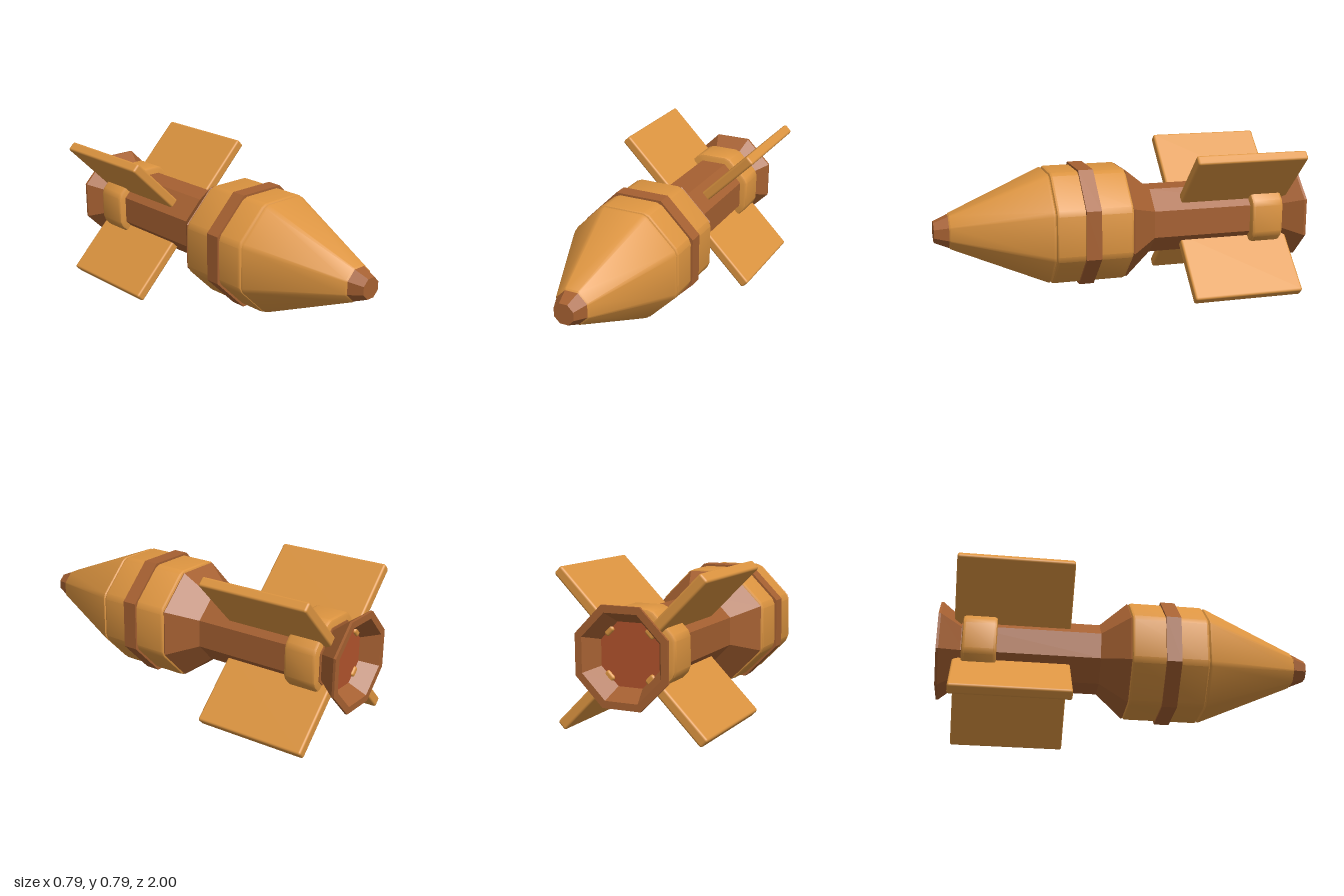
import * as THREE from 'three';
import { toCreasedNormals } from 'three/addons/utils/BufferGeometryUtils.js';
import { RoundedBoxGeometry } from 'three/addons/geometries/RoundedBoxGeometry.js';

// Eight-sided loft along z. rings: [z, apothem], outer surface running from front to back.
// bevel is the share of the apothem cut off along each side at the corners.
function octLoft(rings, bevel = 0) {
  const pos = [], index = [];
  const n = bevel ? 16 : 8;
  for (const [z, a] of rings) {
    const half = a * Math.tan(Math.PI / 8);
    for (let k = 0; k < 8; k++) {
      const t = k * Math.PI / 4, c = Math.cos(t), s = Math.sin(t);
      const ends = bevel ? [-half + a * bevel, half - a * bevel] : [half];
      for (const e of ends) pos.push(a * c - e * s, a * s + e * c, z);
    }
  }
  for (let r = 0; r < rings.length - 1; r++) {
    for (let i = 0; i < n; i++) {
      const a = r * n + i, a2 = r * n + (i + 1) % n;
      const b = a + n, b2 = a2 + n;
      if (rings[r][1] > 0) index.push(a, b, a2);
      if (rings[r + 1][1] > 0) index.push(a2, b, b2);
    }
  }
  // Drop the empty halves next to the cap centres by only keeping real triangles
  const g = new THREE.BufferGeometry();
  g.setAttribute('position', new THREE.Float32BufferAttribute(pos, 3));
  const real = [];
  const v = [0, 1, 2].map(() => new THREE.Vector3());
  for (let i = 0; i < index.length; i += 3) {
    v.forEach((p, j) => p.fromBufferAttribute(g.attributes.position, index[i + j]));
    if (new THREE.Triangle(...v).getArea() > 1e-9) real.push(index[i], index[i + 1], index[i + 2]);
  }
  g.setIndex(real);
  return toCreasedNormals(g, 0.55);
}

export function createModel() {
  const model = new THREE.Group();
  model.name = 'finnedBomb';
  const mat = (name, color) => {
    const m = new THREE.MeshStandardMaterial({ color });
    m.name = name;
    return m;
  };
  const orange = mat('orange', 0xdc9440);
  const brown = mat('brown', 0xa56031);
  const red = mat('rust red', 0xb0522c);

  const add = (name, geometry, material) => {
    const mesh = new THREE.Mesh(geometry, material);
    mesh.name = name;
    model.add(mesh);
    return mesh;
  };

  // Nose
  add('noseTip', octLoft([[1, 0], [1, 0.053], [0.925, 0.083], [0.925, 0]]), brown);
  add('noseCone', octLoft([[0.93, 0], [0.93, 0.075], [0.918, 0.09], [0.425, 0.29],
    [0.415, 0.293], [0.408, 0.285], [0.408, 0]], 0.05), orange);

  // Main body and its band
  add('body', octLoft([[0.408, 0], [0.408, 0.285], [0.403, 0.294], [0.394, 0.298], [0.014, 0.298],
    [0.005, 0.294], [0, 0.285], [0, 0]], 0.06), orange);
  add('bodyBand', octLoft([[0.257, 0], [0.257, 0.309], [0.177, 0.309], [0.177, 0]]), brown);

  // Rear taper and tail tube
  add('rearTaper', octLoft([[0, 0], [0, 0.285], [-0.006, 0.289], [-0.15, 0.174], [-0.15, 0]]), brown);
  add('tailTube', octLoft([[-0.14, 0], [-0.14, 0.174], [-0.88, 0.174], [-0.88, 0]]), brown);
  add('tailCollar', octLoft([[-0.695, 0], [-0.695, 0.198], [-0.7, 0.209], [-0.712, 0.214],
    [-0.858, 0.214], [-0.87, 0.209], [-0.875, 0.198], [-0.875, 0]], 0.08), orange);

  // Flared nozzle with a recessed disc
  add('nozzle', octLoft([[-0.865, 0.15], [-0.987, 0.24], [-1, 0.24], [-1, 0.205], [-0.905, 0.15]]), brown);
  const disc = add('nozzleDisc',
    new THREE.CircleGeometry(0.157 / Math.cos(Math.PI / 8), 8, Math.PI / 8), red);
  disc.rotation.y = Math.PI;
  disc.position.z = -0.91;

  // Four diagonal tail fins
  const inner = 0.135, outer = 0.537;
  const finGeometry = new RoundedBoxGeometry(outer - inner, 0.055, 0.612, 2, 0.012);
  finGeometry.translate((inner + outer) / 2, 0, -0.615);
  for (let i = 0; i < 4; i++) {
    add('tailFin' + (i + 1), finGeometry, orange).rotation.z = Math.PI / 4 + i * Math.PI / 2;
  }

  for (const part of model.children) part.position.y = 0.395;
  return model;
}
